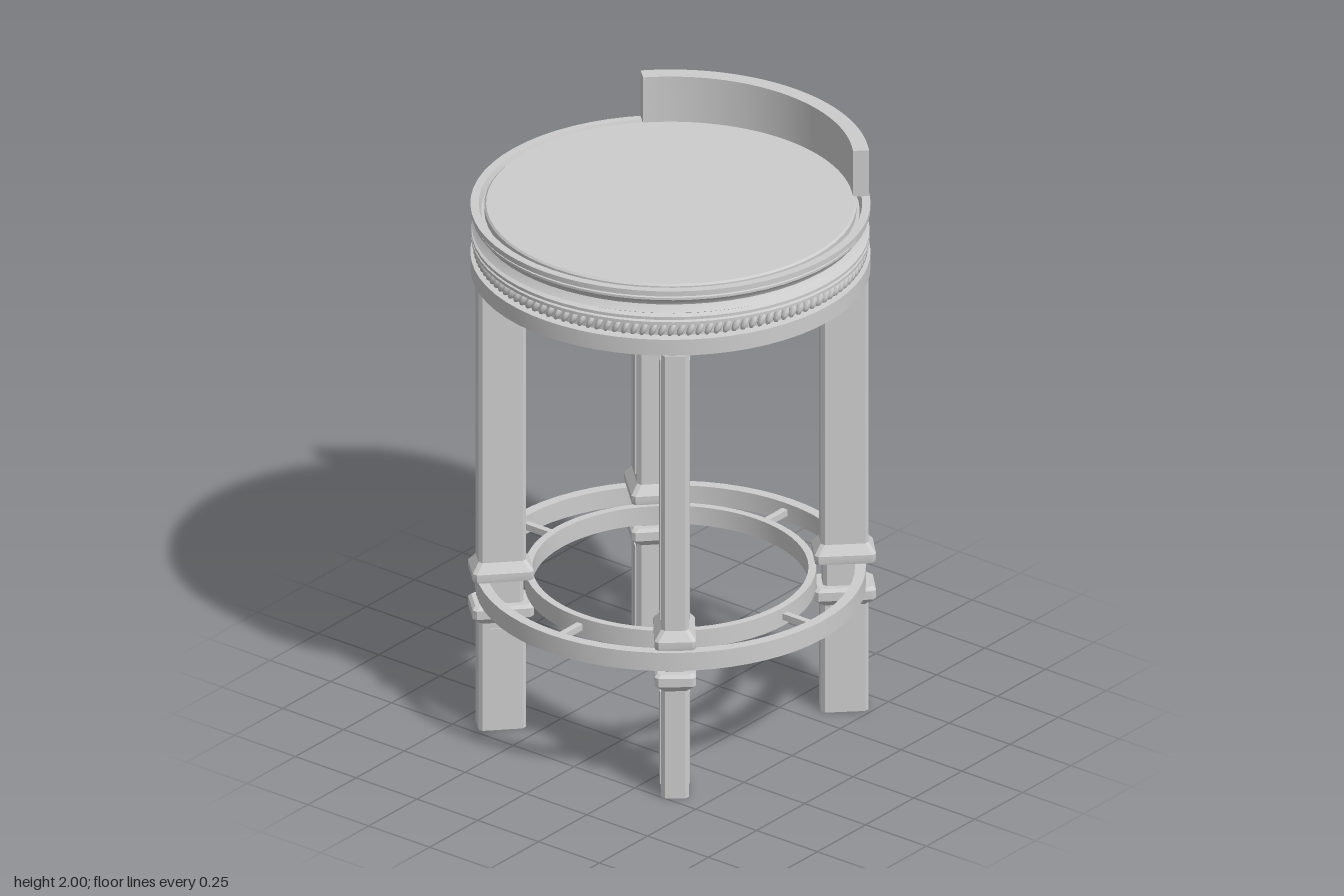
import * as THREE from 'three';
import { mergeGeometries, toCreasedNormals } from 'three/addons/utils/BufferGeometryUtils.js';

const grey = new THREE.MeshStandardMaterial({ color: 0xcccccc });
grey.name = 'grey';

function add(parent, name, geometry) {
  const mesh = new THREE.Mesh(geometry, grey);
  mesh.name = name;
  parent.add(mesh);
  return mesh;
}

// Turned part; the profile runs up the outside and back down the inside
function turned(profile, segments = 64) {
  const points = profile.map(([r, y]) => new THREE.Vector2(r, y));
  return toCreasedNormals(new THREE.LatheGeometry(points, segments), 0.5);
}

// Rectangular hoop
const hoop = (inner, outer, y0, y1) =>
  turned([[inner, y0], [outer, y0], [outer, y1], [inner, y1], [inner, y0]]);

// Curved slab centred on the back
function arcSlab(inner, outer, half, y0, y1) {
  const s = new THREE.Shape();
  s.absarc(0, 0, outer, Math.PI / 2 - half, Math.PI / 2 + half, false);
  s.absarc(0, 0, inner, Math.PI / 2 + half, Math.PI / 2 - half, true);
  const g = new THREE.ExtrudeGeometry(s, { depth: y1 - y0, bevelEnabled: false, curveSegments: 28 });
  g.rotateX(-Math.PI / 2).translate(0, y0, 0);
  return toCreasedNormals(g, 0.5);
}

// Chamfered rectangular post lofted through [height, outward offset] sections
function post(width, depth, chamfer, sections) {
  const pos = [], index = [], n = 8;
  for (const [y, o] of sections) {
    const a = width / 2 + o, b = depth / 2 + o, c = chamfer;
    for (const [x, z] of [[a, b - c], [a, c - b], [a - c, -b], [c - a, -b],
      [-a, c - b], [-a, b - c], [c - a, b], [a - c, b]]) pos.push(x, y, z);
  }
  const last = (sections.length - 1) * n;
  for (let k = 0; k < last; k += n) {
    for (let i = 0; i < n; i++) {
      const j = (i + 1) % n;
      index.push(k + i, k + j, k + n + j, k + i, k + n + j, k + n + i);
    }
  }
  for (let i = 1; i < n - 1; i++) {
    index.push(0, i + 1, i, last, last + i, last + i + 1);
  }
  const g = new THREE.BufferGeometry();
  g.setAttribute('position', new THREE.Float32BufferAttribute(pos, 3));
  g.setIndex(index);
  return toCreasedNormals(g, 0.3);
}

function makeLeg(x, z, top) {
  const leg = new THREE.Group();
  leg.name = 'leg';
  add(leg, 'legPost', post(0.09, 0.155, 0.012, [
    [0.005, 0], [0.39, 0], [0.415, 0.022], [0.445, 0.022], [0.455, 0.012], [0.455, -0.008],
    [0.545, -0.008], [0.545, 0.02], [0.555, 0.022], [0.575, 0.022], [0.607, 0], [top, 0],
  ]));
  // Raised panels on the broad sides
  for (const side of [-1, 1]) {
    for (const [y0, y1] of [[0.04, 0.37], [0.63, top - 0.03]]) {
      const panel = add(leg, 'legPanel', new THREE.BoxGeometry(0.006, y1 - y0, 0.085));
      panel.position.set(side * 0.046, (y0 + y1) / 2, 0);
    }
  }
  leg.position.set(x, 0, z);
  leg.rotation.y = Math.atan2(x, z);
  return leg;
}

export function createModel() {
  const stool = new THREE.Group();
  stool.name = 'stool';

  // Legs
  for (const [x, z, top] of [[0.35, 0.42, 1.592], [-0.38, 0.40, 1.62], [-0.38, -0.365, 1.62], [0.405, -0.388, 1.62]]) {
    stool.add(makeLeg(x, z, top));
  }

  // Foot ring: two hoops joined by spokes
  const footRing = new THREE.Group();
  footRing.name = 'footRing';
  stool.add(footRing);
  add(footRing, 'outerHoop', hoop(0.595, 0.63, 0.465, 0.53));
  add(footRing, 'innerHoop', hoop(0.445, 0.47, 0.465, 0.53));
  for (let i = 0; i < 4; i++) {
    const a = i * Math.PI / 2;
    const spoke = add(footRing, 'spoke', new THREE.BoxGeometry(0.022, 0.022, 0.14));
    spoke.position.set(Math.sin(a) * 0.532, 0.498, Math.cos(a) * 0.532);
    spoke.rotation.y = a;
  }

  // Seat body with stepped mouldings and a hollow underside
  add(stool, 'seatFrame', turned([
    [0, 1.765], [0.46, 1.765], [0.48, 1.75], [0.58, 1.735], [0.585, 1.605],
    [0.645, 1.605], [0.645, 1.662], [0.615, 1.665], [0.615, 1.712],
    [0.642, 1.714], [0.642, 1.724], [0.63, 1.728], [0.642, 1.732], [0.642, 1.742],
    [0.625, 1.748], [0.64, 1.756], [0.63, 1.766], [0.622, 1.778], [0.628, 1.792],
    [0.64, 1.802], [0.64, 1.81], [0.625, 1.814], [0.645, 1.818], [0.645, 1.836],
    [0.618, 1.836], [0.61, 1.81], [0, 1.81],
  ]));
  add(stool, 'seatTop', turned([[0.6, 1.805], [0.6, 1.832], [0.594, 1.838], [0, 1.838]]));

  // Slanted beads around the seat
  const beads = [];
  for (let i = 0; i < 130; i++) {
    const bead = new THREE.SphereGeometry(1, 7, 5);
    bead.scale(0.011, 0.024, 0.015).rotateZ(-0.45);
    bead.translate(0, 1.688, 0.623).rotateY(i * Math.PI * 2 / 130);
    beads.push(bead);
  }
  add(stool, 'beadBand', mergeGeometries(beads));

  // Low curved backrest with a grooved outer face
  const back = new THREE.Group();
  back.name = 'backrest';
  stool.add(back);
  const half = 0.82;
  add(back, 'backWall', arcSlab(0.59, 0.612, half, 1.836, 2));
  add(back, 'topRail', arcSlab(0.61, 0.642, half, 1.978, 2));
  add(back, 'bottomRail', arcSlab(0.61, 0.642, half, 1.836, 1.862));
  add(back, 'upperStrip', arcSlab(0.61, 0.642, half - 0.09, 1.928, 1.962));
  add(back, 'lowerStrip', arcSlab(0.61, 0.642, half - 0.09, 1.876, 1.912));
  for (const side of [-1, 1]) {
    const end = add(back, 'endRail', arcSlab(0.61, 0.642, 0.03, 1.862, 1.978));
    end.rotation.y = side * (half - 0.03);
  }
  return stool;
}
